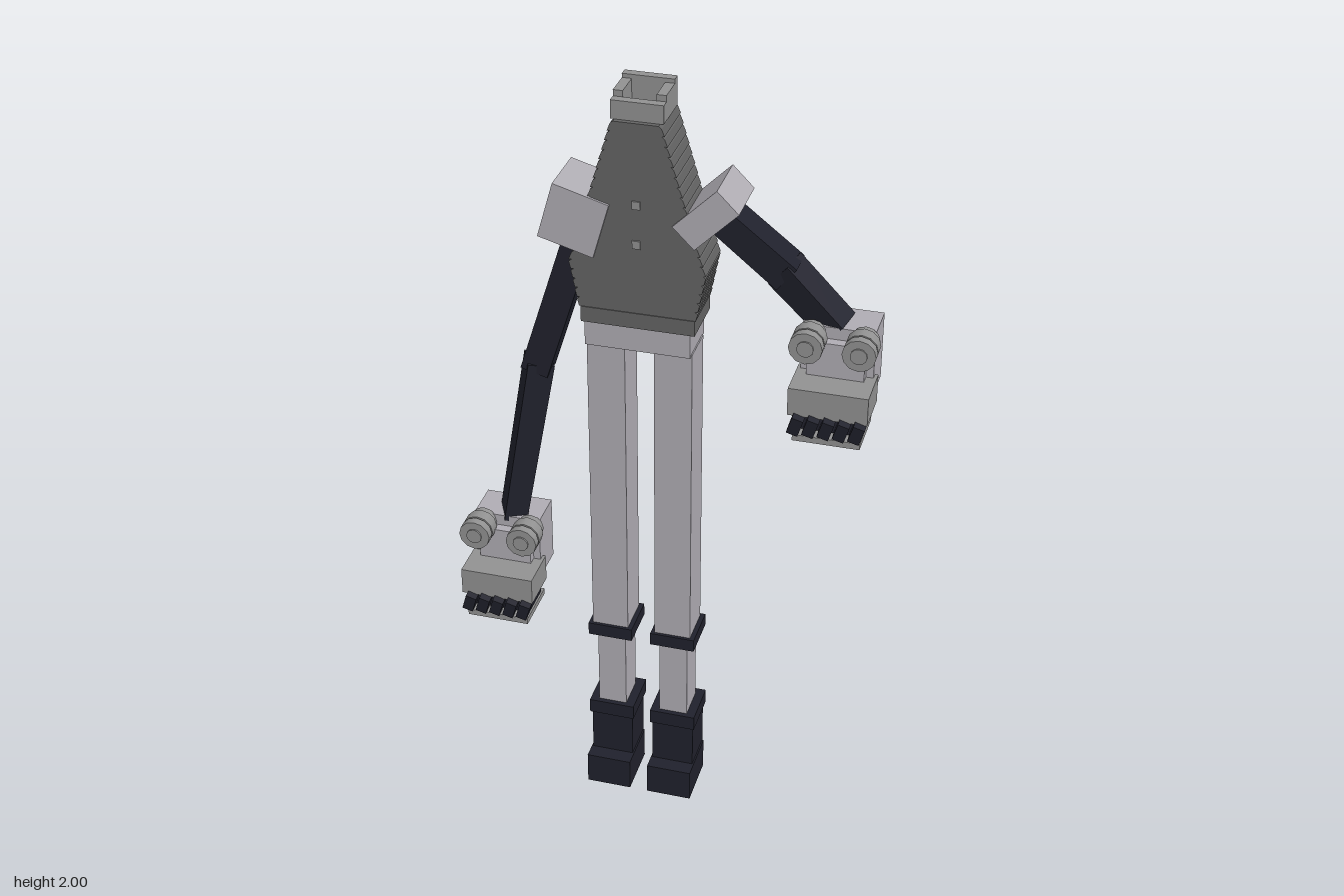
import * as THREE from 'three';

const mat = (name, color) => {
  const m = new THREE.MeshStandardMaterial({ color });
  m.name = name;
  return m;
};

export function createModel() {
  const pale = mat('pale grey', 0xb0adb4);
  const mid = mat('mid grey', 0x929292);
  const steel = mat('dark grey', 0x646464);
  const navy = mat('near black', 0x20212c);

  const model = new THREE.Group();
  model.name = 'figure';

  function add(parent, name, geometry, material) {
    const mesh = new THREE.Mesh(geometry, material);
    mesh.name = name;
    parent.add(mesh);
    return mesh;
  }
  // Box given by its extents on each axis
  function block(parent, name, material, x0, x1, y0, y1, z0, z1) {
    const mesh = add(parent, name, new THREE.BoxGeometry(x1 - x0, y1 - y0, z1 - z0), material);
    mesh.position.set((x0 + x1) / 2, (y0 + y1) / 2, (z0 + z1) / 2);
    return mesh;
  }
  // Square bar running between two points
  function bar(parent, name, material, a, b, w0, w1, depth) {
    const from = new THREE.Vector3(...a), to = new THREE.Vector3(...b);
    const g = new THREE.BoxGeometry(w0, from.distanceTo(to), depth);
    const p = g.attributes.position;
    for (let i = 0; i < p.count; i++) if (p.getY(i) > 0) p.setX(i, p.getX(i) * w1 / w0);
    g.computeVertexNormals();
    const mesh = add(parent, name, g, material);
    mesh.position.copy(from).lerp(to, 0.5);
    mesh.quaternion.setFromUnitVectors(new THREE.Vector3(0, 1, 0), to.clone().sub(from).normalize());
    return mesh;
  }

  // Torso: tapered outline with ridged sides
  const cx = -0.064;
  const halfWidth = y => y > 1.57
    ? THREE.MathUtils.mapLinear(y, 1.57, 1.93, 0.163, 0.058)
    : THREE.MathUtils.mapLinear(y, 1.45, 1.57, 0.14, 0.163);
  const side = [];
  const steps = 20;
  for (let i = 0; i < steps; i++) {
    const y0 = 1.45 + 0.48 * i / steps, y1 = 1.45 + 0.48 * (i + 1) / steps;
    side.push([halfWidth(y0) + 0.002, y0], [halfWidth(y1) + 0.002, y1 - 0.006], [halfWidth(y1) - 0.005, y1]);
  }
  const outline = new THREE.Shape([
    ...side.map(([x, y]) => new THREE.Vector2(cx + x, y)),
    ...side.reverse().map(([x, y]) => new THREE.Vector2(cx - x, y)),
  ]);
  const torso = add(model, 'torso', new THREE.ExtrudeGeometry(outline, { depth: 0.136, bevelEnabled: false }), steel);
  torso.position.z = -0.122;
  block(model, 'waistband', steel, -0.202, 0.076, 1.41, 1.45, -0.124, 0.016);
  block(model, 'hips', pale, -0.195, 0.064, 1.345, 1.41, -0.118, 0.01);
  for (const y of [1.63, 1.73]) block(model, 'button', mid, cx - 0.01, cx + 0.01, y - 0.01, y + 0.01, 0.012, 0.018);

  // Open collar, higher at the back
  block(model, 'collarBack', mid, -0.126, -0.002, 1.93, 2.0, -0.112, -0.09);
  block(model, 'collarFront', mid, -0.126, -0.002, 1.93, 1.975, -0.02, 0.002);
  for (const x of [-0.126, -0.025]) {
    block(model, 'collarSide', mid, x, x + 0.023, 1.93, 1.99, -0.09, -0.02);
  }
  block(model, 'collarFloor', navy, -0.103, -0.025, 1.925, 1.936, -0.09, -0.02);

  // Legs and boots
  for (const x of [-0.145, 0.021]) {
    const s = x < -0.06 ? -1 : 1;
    const leg = new THREE.Group();
    leg.name = s < 0 ? 'rightLeg' : 'leftLeg';
    leg.position.x = x;
    model.add(leg);
    block(leg, 'thigh', pale, -0.048, 0.046, 0.5, 1.35, -0.1, 0.002);
    block(leg, 'kneeBand', navy, -0.058, 0.058, 0.475, 0.51, -0.108, 0.01);
    block(leg, 'shin', pale, -0.037, 0.037, 0.24, 0.48, -0.093, -0.005);
    block(leg, 'bootCuff', navy, -0.06, 0.06, 0.212, 0.252, -0.114, 0.008);
    block(leg, 'bootShaft', navy, -0.055, 0.055, 0.05, 0.215, -0.105, 0.002);
    block(leg, 'bootFoot', navy, -0.059, 0.059, 0, 0.088, -0.1, 0.042);
  }

  // Shoulder pads
  const rightPad = block(model, 'rightShoulder', pale, -0.285, -0.145, 1.6, 1.745, -0.125, 0.02);
  rightPad.rotation.z = -0.28;
  const leftPad = block(model, 'leftShoulder', pale, 0.027, 0.173, 1.678, 1.752, -0.125, 0.02);
  leftPad.rotation.z = 0.78;

  // Arms
  bar(model, 'rightUpperArm', navy, [-0.2, 1.66, -0.052], [-0.336, 1.23, -0.05], 0.07, 0.07, 0.075);
  bar(model, 'rightForearm', navy, [-0.332, 1.25, -0.05], [-0.41, 0.79, -0.032], 0.066, 0.058, 0.072);
  bar(model, 'leftUpperArm', navy, [0.12, 1.705, -0.052], [0.285, 1.575, -0.05], 0.07, 0.075, 0.075);
  bar(model, 'leftForearm', navy, [0.27, 1.585, -0.05], [0.41, 1.46, -0.032], 0.075, 0.066, 0.072);

  // Hands: blocky back, twin knobs, knuckle slab, fingers and bottom plate
  function hand(name, x, y) {
    const g = new THREE.Group();
    g.name = name;
    g.position.set(x, y, 0);
    model.add(g);
    block(g, 'handBack', pale, -0.086, 0.086, 0.085, 0.255, -0.093, 0.008);
    block(g, 'handFront', pale, -0.068, 0.068, 0.1, 0.225, 0, 0.032);
    block(g, 'knuckleSlab', mid, -0.094, 0.094, 0.066, 0.137, -0.01, 0.105);
    block(g, 'palm', navy, -0.078, 0.078, 0.022, 0.07, -0.01, 0.085);
    block(g, 'bottomPlate', mid, -0.08, 0.08, 0, 0.016, -0.03, 0.107);
    block(g, 'palmSpacer', navy, -0.06, 0.06, 0.014, 0.024, -0.01, 0.07);
    for (let i = 0; i < 5; i++) {
      const fx = -0.072 + i * 0.036;
      const finger = block(g, 'finger', navy, fx - 0.014, fx + 0.014, 0.022, 0.07, 0.088, 0.12);
      finger.rotation.set(0.15, 0, -0.3);
    }
    for (const kx of [-0.062, 0.062]) {
      [[0.034, 0.078, 0.042], [0.04, 0.032, 0.04], [0.04, 0.022, 0.072], [0.02, 0.008, 0.083]].forEach(([r, len, z]) => {
        const knob = add(g, 'knob', new THREE.CylinderGeometry(r, r, len, 12), mid);
        knob.rotation.x = Math.PI / 2;
        knob.position.set(kx, 0.233, z);
      });
    }
  }
  hand('rightHand', -0.415, 0.55);
  hand('leftHand', 0.415, 1.225);

  return model;
}
